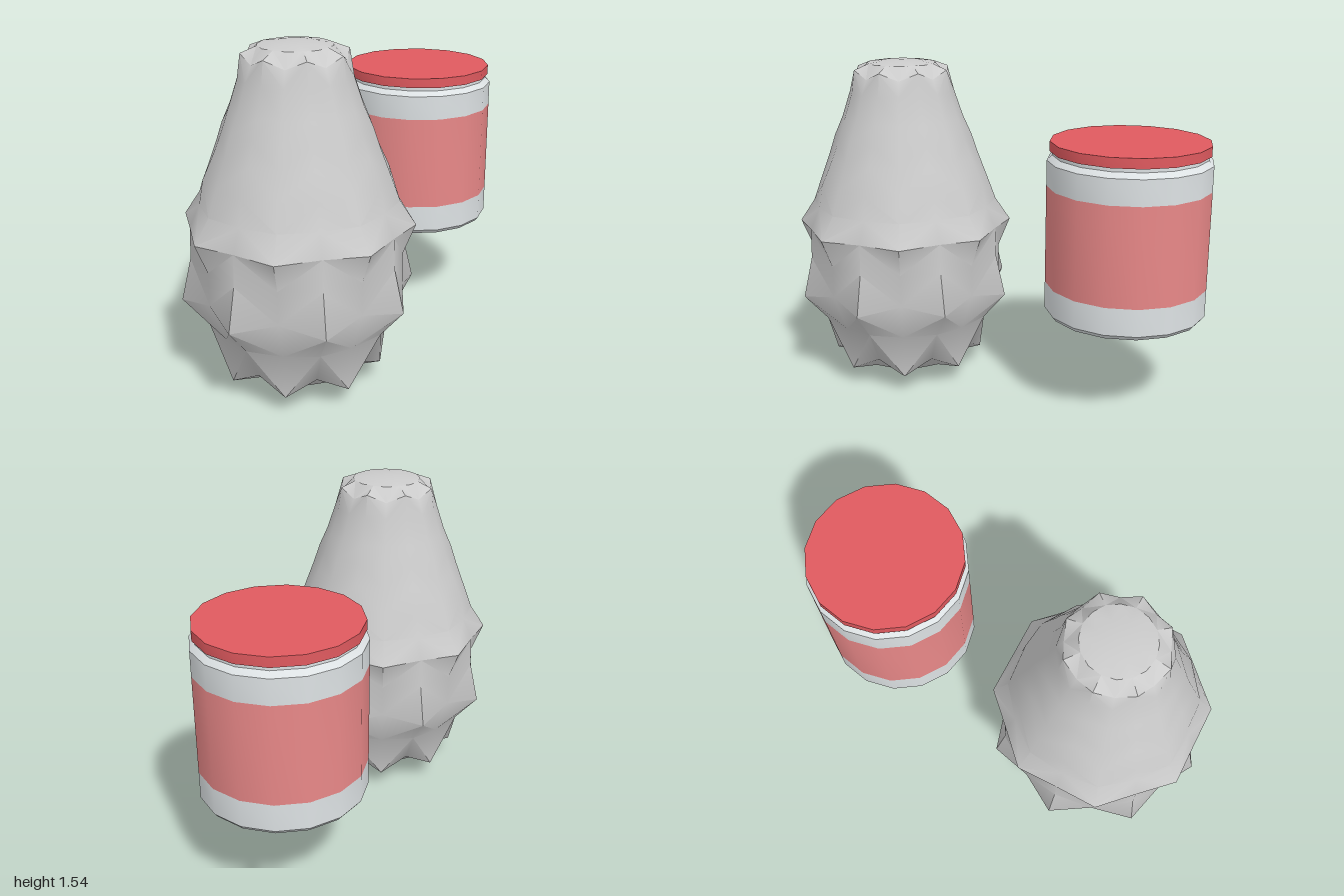
import * as THREE from 'three';
import { toCreasedNormals } from 'three/addons/utils/BufferGeometryUtils.js';

const SIDES = 16;

// Lobed body: each ring is [radius, y] on the even spokes and [radius, y] on the odd spokes
const BODY_RINGS = [
  [0.11, 0.012, 0.11, 0.012],
  [0.21, 0.06, 0.215, 0.055],
  [0.33, 0.155, 0.36, 0.09],
  [0.41, 0.31, 0.385, 0.3],
  [0.52, 0.44, 0.455, 0.48],
  [0.475, 0.63, 0.455, 0.63],
  [0.47, 0.77, 0.51, 0.765],
  [0.425, 0.87, 0.44, 0.87],
  [0.405, 0.98, 0.4, 0.98],
  [0.35, 1.1, 0.355, 1.1],
  [0.315, 1.19, 0.325, 1.19],
  [0.285, 1.28, 0.285, 1.28],
  [0.245, 1.4, 0.245, 1.4],
  [0.23, 1.505, 0.215, 1.47],
  [0.16, 1.532, 0.16, 1.53],
  [0.09, 1.54, 0.09, 1.54],
];

function lobedGeometry(rings, bottomY, topY) {
  const pos = [], index = [];
  for (const [r0, y0, r1, y1] of rings) {
    for (let i = 0; i < SIDES; i++) {
      const a = (i / SIDES) * Math.PI * 2;
      const r = i % 2 ? r1 : r0;
      pos.push(Math.sin(a) * r, i % 2 ? y1 : y0, Math.cos(a) * r);
    }
  }
  const bottom = rings.length * SIDES, top = bottom + 1, last = bottom - SIDES;
  pos.push(0, bottomY, 0, 0, topY, 0);
  for (let i = 0; i < SIDES; i++) {
    const n = (i + 1) % SIDES;
    index.push(bottom, n, i, top, last + i, last + n);
    for (let k = 0; k < rings.length - 1; k++) {
      const a = k * SIDES + i, b = k * SIDES + n, c = b + SIDES, d = a + SIDES;
      // Mirror the diagonals from spoke to spoke so every lobe is symmetric
      if (i % 2) index.push(a, b, c, a, c, d);
      else index.push(a, b, d, b, c, d);
    }
  }
  const geo = new THREE.BufferGeometry();
  geo.setAttribute('position', new THREE.Float32BufferAttribute(pos, 3));
  geo.setIndex(index);
  return toCreasedNormals(geo, 0.65);
}

// Turned part with smooth sides and sharp rims
function turned(name, color, profile) {
  const points = profile.map(([r, y]) => new THREE.Vector2(r, y));
  const geo = toCreasedNormals(new THREE.LatheGeometry(points, SIDES), 0.5);
  const mesh = new THREE.Mesh(geo, new THREE.MeshStandardMaterial({ color, side: THREE.DoubleSide }));
  mesh.name = name;
  return mesh;
}

export function createModel() {
  const model = new THREE.Group();
  model.name = 'lobedBodyWithJar';

  // Main lobed body
  const body = new THREE.Mesh(
    lobedGeometry(BODY_RINGS, 0, 1.545),
    new THREE.MeshStandardMaterial({ color: 0xcccccc })
  );
  body.name = 'body';
  body.position.z = 0.475;
  model.add(body);

  // Jar hovering behind the body
  const jar = new THREE.Group();
  jar.name = 'jar';
  jar.position.z = -0.632;
  const glass = 0xdde2e4;
  jar.add(
    turned('jarBase', glass, [[0, 0.445], [0.352, 0.445], [0.368, 0.465], [0.368, 0.59]]),
    turned('jarLabel', 0xe88888, [[0.368, 0.59], [0.368, 1.04]]),
    turned('jarShoulder', glass, [[0.368, 1.04], [0.368, 1.155], [0.345, 1.178], [0.345, 1.2]]),
    turned('jarLid', 0xe05a5f, [[0, 1.195], [0.356, 1.195], [0.356, 1.24], [0, 1.24]])
  );
  model.add(jar);

  return model;
}
